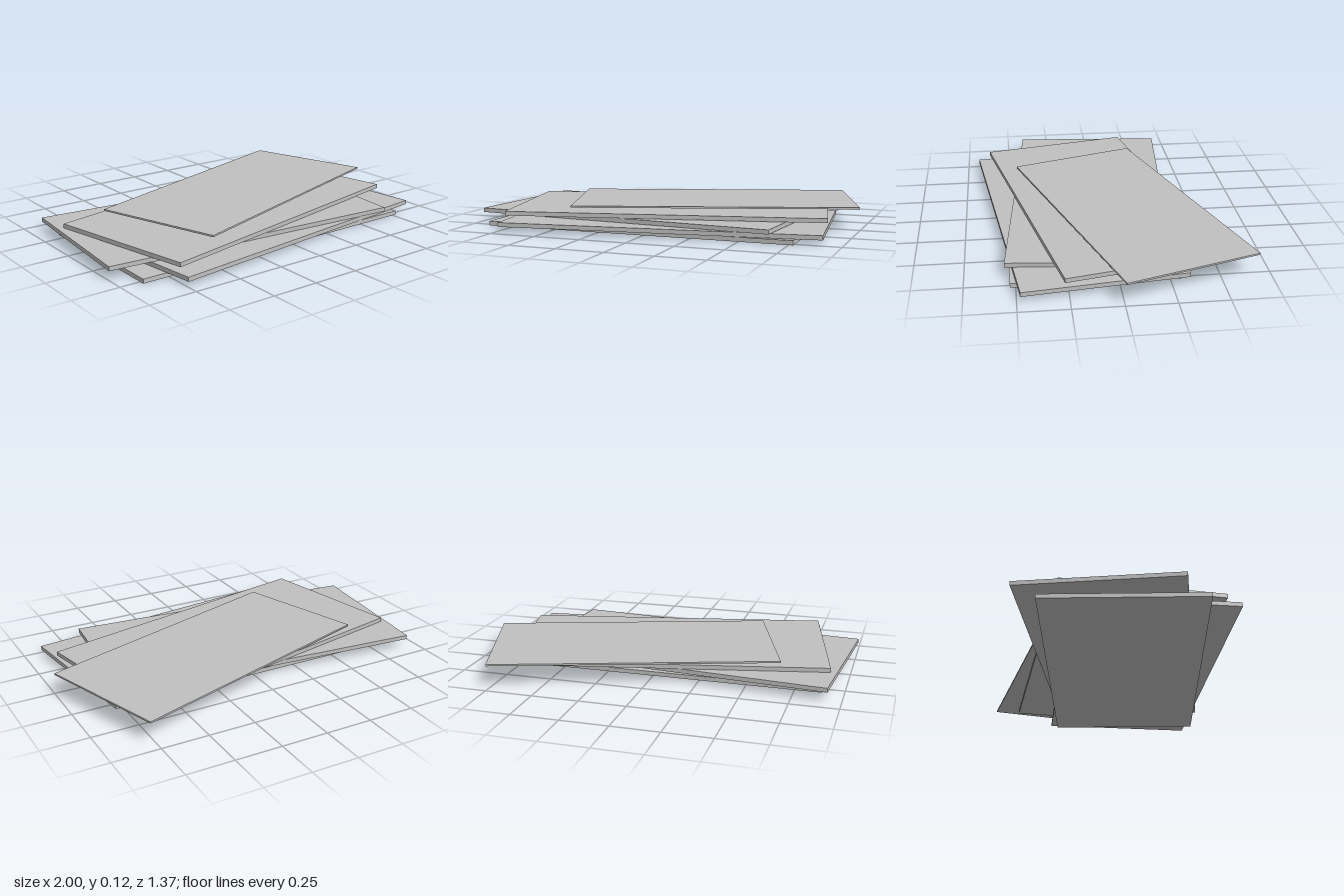
import * as THREE from 'three';

export function createModel() {
  const model = new THREE.Group();
  model.name = 'stackedPanels';
  const grey = new THREE.MeshStandardMaterial({ color: 0xc0c0c0 });
  grey.name = 'light grey';

  // One flat panel: base height y, thickness t, turned about the vertical axis
  function addPanel(name, width, depth, t, x, y, z, degrees) {
    const panel = new THREE.Mesh(new THREE.BoxGeometry(width, t, depth), grey);
    panel.name = name;
    panel.position.set(x, y + t / 2, z);
    panel.rotation.y = THREE.MathUtils.degToRad(degrees);
    model.add(panel);
  }

  // Four equal boards, loosely fanned: x, z, turn
  const boards = [
    [-0.06, 0.112, 0],
    [0.029, 0.17, 7],
    [-0.136, 0.065, -5],
    [-0.016, 0.036, 12],
  ];
  boards.forEach(([x, z, turn], i) =>
    addPanel(`board${i + 1}`, 1.664, 0.832, 0.0225, x, i * 0.0245, z, turn));

  // Smaller thin sheet hovering just above the pile
  addPanel('topSheet', 1.51, 0.717, 0.009, 0.166, 0.109, -0.116, 18);

  return model;
}
